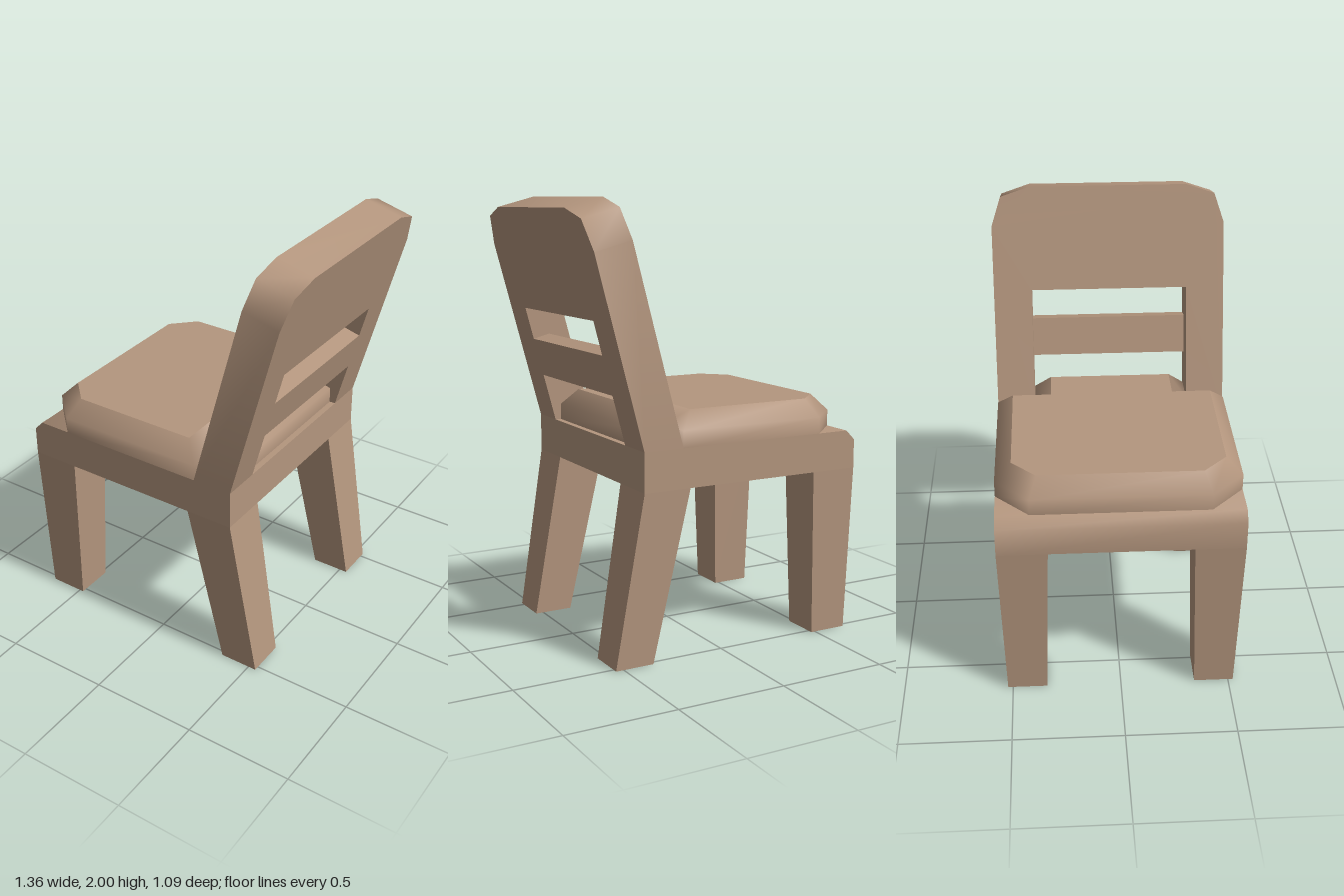
import * as THREE from 'three';
import { toCreasedNormals } from 'three/addons/utils/BufferGeometryUtils.js';

const HALF = 0.545; // half width of the chair
const SLOT = 0.367; // half width of the backrest opening
const SEAT = 0.945; // top of the seat frame
const wood = new THREE.MeshStandardMaterial({ color: 0xb4967e });
wood.name = 'tan wood';

function part(name, geometry) {
  const mesh = new THREE.Mesh(geometry, wood);
  mesh.name = name;
  return mesh;
}

function toShape(points) {
  return new THREE.Shape(points.map(([x, y]) => new THREE.Vector2(x, y)));
}

function moveVertices(geometry, rule) {
  const p = geometry.attributes.position;
  for (let i = 0; i < p.count; i++) p.setXYZ(i, ...rule(p.getX(i), p.getY(i), p.getZ(i)));
  geometry.computeVertexNormals();
  return geometry;
}

// Adds the points mirrored in one axis, so the outline closes on itself
function mirrored(points, axis) {
  const flip = ([a, b]) => (axis === 0 ? [-a, b] : [a, -b]);
  return [...points, ...points.slice().reverse().map(flip)];
}

// Tapered leg; top and bottom are [xMin, xMax, zInner, zOuter]
function leg(name, top, bottom, side) {
  const geometry = moveVertices(new THREE.BoxGeometry(1, 1, 1), (x, y, z) => {
    const [x0, x1, zi, zo] = y > 0 ? top : bottom;
    return [x > 0 ? x1 : x0, y > 0 ? 0.768 : 0, (side * (zi + zo)) / 2 + z * (zo - zi)];
  });
  return part(name, geometry);
}

// Panel outlined in (z, y) on the back surface, leaning back, thickened to the front
function leaningPanel(name, points, thickness) {
  const geometry = new THREE.ExtrudeGeometry(toShape(points), { depth: 1, bevelEnabled: false });
  moveVertices(geometry, (u, y, w) => {
    const x = 0.408 + 0.268 * (y - SEAT);
    const atSeat = y < SEAT + 0.001; // the foot of the panel is cut level
    const t = w * thickness;
    return [x - t * (atSeat ? 0.188 : 0.173), y + (atSeat ? 0 : t * 0.046), u];
  });
  return part(name, toCreasedNormals(geometry, 1.05));
}

// Padded seat: straight wall, bevelled shoulder and flat top
function cushion() {
  const group = new THREE.Group();
  group.name = 'cushion';
  const outer = mirrored([[0.38, 0.365], [0.22, 0.365], [0.22, HALF], [-0.485, HALF], [-0.638, 0.395]], 1);
  const inner = mirrored([[0.322, 0.288], [0.146, 0.288], [0.146, 0.47], [-0.455, 0.47], [-0.562, 0.363]], 1);
  const rings = [[outer, SEAT], [outer, 1.02], [inner, 1.097]];
  const n = outer.length;
  const positions = [];
  const index = [];
  rings.forEach(([ring, y], r) => {
    ring.forEach(([x, d], i) => {
      positions.push(x, y, -d);
      if (r === 0) return;
      const j = (i + 1) % n;
      const low = (r - 1) * n;
      const high = r * n;
      index.push(low + i, low + j, high + j, low + i, high + j, high + i);
    });
  });
  const wall = new THREE.BufferGeometry();
  wall.setAttribute('position', new THREE.Float32BufferAttribute(positions, 3));
  wall.setIndex(index);
  wall.computeVertexNormals();
  const top = new THREE.ShapeGeometry(toShape(inner));
  top.rotateX(-Math.PI / 2).translate(0, 1.097, 0);
  group.add(part('cushionSide', wall), part('cushionTop', top));
  return group;
}

export function createModel() {
  const chair = new THREE.Group();
  chair.name = 'chair';

  // Seat frame with a bevelled front edge
  const profile = [[-0.682, 0.768], [0.408, 0.768], [0.408, SEAT], [-0.638, SEAT], [-0.682, 0.9]];
  const frame = new THREE.ExtrudeGeometry(toShape(profile), { depth: 2 * HALF, bevelEnabled: false });
  frame.translate(0, 0, -HALF);
  chair.add(part('seatFrame', toCreasedNormals(frame, 0.85)));

  // Legs
  for (const side of [1, -1]) {
    const label = side > 0 ? 'Left' : 'Right';
    chair.add(leg('frontLeg' + label, [-0.682, -0.458, 0.32, HALF], [-0.66, -0.48, 0.342, 0.523], side));
    chair.add(leg('backLeg' + label, [0.185, 0.408, 0.32, HALF], [0.356, 0.537, 0.342, 0.523], side));
  }

  // Backrest with clipped top corners and an opening, plus a thinner rail across it
  const back = [[SLOT, 1.488], [SLOT, SEAT], [HALF, SEAT], [HALF, 1.78], [0.5, 1.912], [0.367, 1.954]];
  // outline runs around the right-hand half, then back down the other
  const half = back.slice(1);
  const outline = [...mirrored(half, 0), [-SLOT, 1.488], [SLOT, 1.488]];
  chair.add(leaningPanel('backrest', outline, 1));
  chair.add(leaningPanel('backRail', [[-SLOT, 1.165], [SLOT, 1.165], [SLOT, 1.34], [-SLOT, 1.34]], 0.45));

  chair.add(cushion());
  return chair;
}
